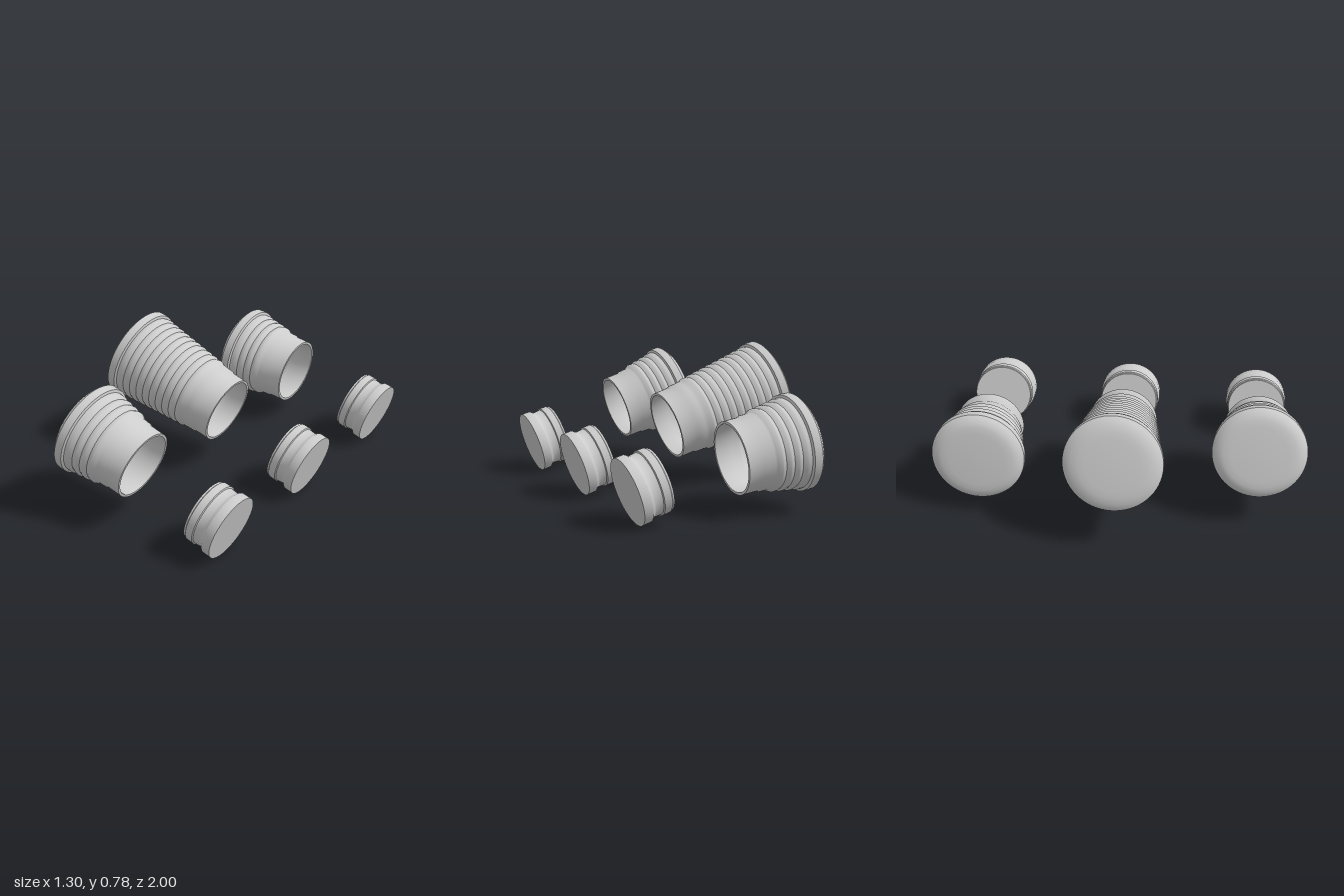
import * as THREE from 'three';
import { toCreasedNormals } from 'three/addons/utils/BufferGeometryUtils.js';

const TILT = THREE.MathUtils.degToRad(17.4);
const WALL = 0.014;

// Profiles are [distance from the open end, radius]
const neck = [[0, 0.188], [0.085, 0.189], [0.1, 0.195], [0.14, 0.197]];

// Stepped ridges running up a tapering body
function ridges(s0, s1, r0, r1, count, depth) {
  const pts = [];
  const step = (s1 - s0) / count;
  for (let i = 0; i < count; i++) {
    const r = THREE.MathUtils.lerp(r0, r1, (i + 0.5) / count);
    const s = s0 + i * step;
    pts.push([s, r - depth], [s + step * 0.45, r], [s + step * 0.65, r]);
  }
  return pts;
}

// Rounded rim and closed end
function closedEnd(s, rim, end, flat) {
  return [
    [s - 0.006, rim - 0.016], [s, rim - 0.002], [s + 0.02, rim], [s + 0.044, rim - 0.001],
    [s + 0.056, THREE.MathUtils.lerp(rim, flat, 0.2)],
    [THREE.MathUtils.lerp(s + 0.056, end, 0.6), THREE.MathUtils.lerp(rim, flat, 0.55)],
    [end - 0.003, flat], [end, flat * 0.8], [end, 0],
  ];
}

function lathe(points) {
  const profile = points.map(([s, r]) => new THREE.Vector2(r, s));
  return toCreasedNormals(new THREE.LatheGeometry(profile, 64), 0.7);
}

// Hollow shell: inner wall from the closed end to the lip, then the outside
function shell(outer) {
  const end = outer[outer.length - 1][0];
  const inner = outer.slice(1, -1)
    .filter(([s]) => s < end - 0.02)
    .map(([s, r]) => [s, r - WALL])
    .reverse();
  const lip = [0, outer[0][1] - WALL];
  return lathe([[end - WALL, 0], [end - WALL, inner[0][1] * 0.85], ...inner, lip, ...outer]);
}

export function createModel() {
  const model = new THREE.Group();
  const grey = new THREE.MeshStandardMaterial({ color: 0xcccccc });
  grey.name = 'light grey';

  const longCup = shell([
    ...neck, ...ridges(0.165, 0.595, 0.206, 0.25, 10, 0.009), ...closedEnd(0.603, 0.259, 0.683, 0.178),
  ]);
  const shortCup = shell([
    ...neck, ...ridges(0.15, 0.322, 0.21, 0.238, 4, 0.012), ...closedEnd(0.33, 0.251, 0.412, 0.19),
  ]);
  const plug = lathe([
    [0, 0], [0, 0.1745], [0.048, 0.174], [0.055, 0.168], [0.071, 0.158], [0.109, 0.161],
    [0.113, 0.168], [0.153, 0.167], [0.157, 0.162], [0.168, 0.161], [0.168, 0],
  ]);

  // Lay a part down with its open end at (x, y, z)
  function place(name, geometry, x, y, z, tilt = TILT) {
    const mesh = new THREE.Mesh(geometry, grey);
    mesh.name = name;
    mesh.position.set(x, y, z);
    mesh.rotation.z = Math.PI / 2 - tilt;
    model.add(mesh);
  }

  // Containers
  place('frontShortCup', shortCup, 0.0515, 0.345, 0.747);
  place('middleLongCup', longCup, 0.0515, 0.345, 0);
  place('backShortCup', shortCup, 0.035, 0.29, -0.747, THREE.MathUtils.degToRad(9.2));

  // Loose plugs in front of each container
  place('frontPlug', plug, 0.589, 0.1695, 0.745);
  place('middlePlug', plug, 0.589, 0.1695, 0);
  place('backPlug', plug, 0.589, 0.1695, -0.747);

  return model;
}
